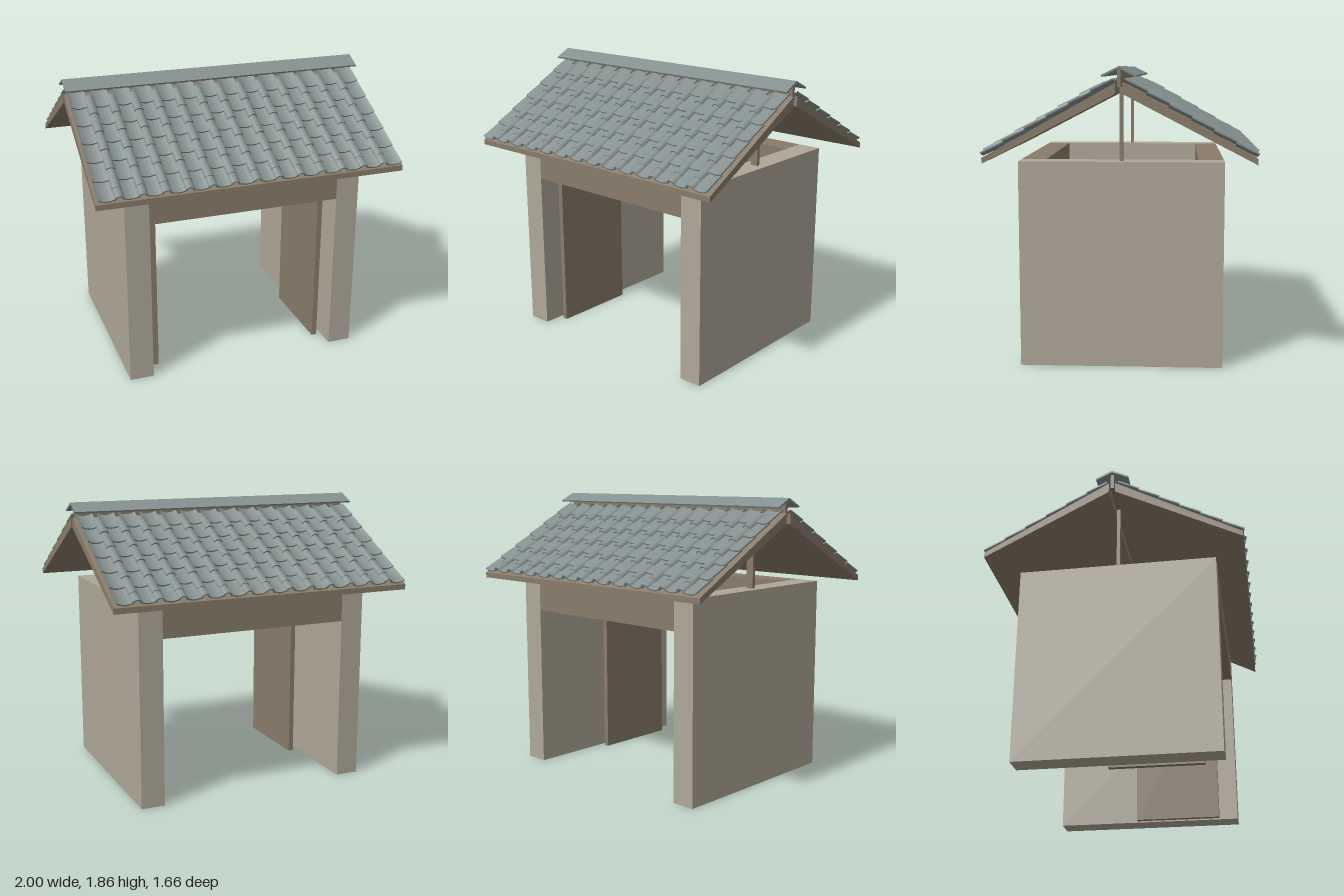
import * as THREE from 'three';
import { mergeGeometries } from 'three/addons/utils/BufferGeometryUtils.js';

const mat = (name, color) => new THREE.MeshStandardMaterial({ name, color });

const SLOPE = 0.565, ANGLE = Math.atan(SLOPE), EAVE = 0.81;

// Closed arc strip: bulge > 0 arches up, bulge < 0 sags
function arcShape(halfWidth, bulge, base, thick, n = 8) {
  const y = (t) => base + (bulge > 0 ? bulge * Math.sqrt(1 - t * t) : -bulge * t * t);
  const ts = Array.from({ length: n + 1 }, (_, i) => -Math.cos((i / n) * Math.PI));
  const low = ts.map((t) => new THREE.Vector2(t * (halfWidth - (bulge > 0 ? thick : 0)), y(t) - (bulge > 0 ? thick * Math.sqrt(1 - t * t) : 0)));
  const high = ts.map((t) => new THREE.Vector2(t * halfWidth, y(t) + (bulge > 0 ? 0 : thick)));
  return new THREE.Shape([...low, ...high.reverse()]);
}

// One tile, with its lower edge at the origin, lying on the slope
function tile(shape, length) {
  const g = new THREE.ExtrudeGeometry(shape, { depth: length, bevelEnabled: false });
  g.translate(0, 0, -length);
  g.rotateX(ANGLE - 0.06);
  return g;
}

// Profile of [z, y] points swept along x
function sweepX(points, length) {
  const shape = new THREE.Shape(points.map(([z, y]) => new THREE.Vector2(z, y)));
  const g = new THREE.ExtrudeGeometry(shape, { depth: length, bevelEnabled: false });
  g.translate(0, 0, -length / 2);
  g.rotateY(-Math.PI / 2);
  return g;
}

export function createModel() {
  const model = new THREE.Group();
  model.name = 'gatehouse';
  const plaster = mat('plaster', 0xafa898);
  const wood = mat('wood', 0x897c6a);
  const slate = mat('roofTile', 0x84908f);

  const add = (parent, name, geometry, material) => {
    const m = new THREE.Mesh(geometry, material);
    m.name = name;
    parent.add(m);
    return m;
  };
  // Box given by its extents
  const box = (name, material, [x0, x1], [y0, y1], [z0, z1]) =>
    add(model, name, new THREE.BoxGeometry(x1 - x0, y1 - y0, z1 - z0), material)
      .position.set((x0 + x1) / 2, (y0 + y1) / 2, (z0 + z1) / 2);

  // Side walls, open door leaves and ridge posts
  for (const [side, s] of [['left', 1], ['right', -1]]) {
    const span = (a, b) => (s > 0 ? [a, b] : [-b, -a]);
    box(side + 'Wall', plaster, span(0.63, 0.785), [0, 1.285], [-0.63, 0.63]);
    box(side + 'Door', wood, span(0.56, 0.595), [0, 1.05], [-0.075, 0.505]);
    box(side + 'RidgePost', wood, span(0.685, 0.735), [1.285, 1.75], [-0.011, 0.011]);
  }

  // Lintels across both openings, and the ridge board
  box('frontLintel', wood, [-0.63, 0.63], [1.075, 1.285], [0.475, 0.63]);
  box('backLintel', wood, [-0.63, 0.63], [1.075, 1.285], [-0.63, -0.475]);
  box('ridgeBoard', wood, [-0.98, 0.98], [1.74, 1.84], [-0.011, 0.011]);

  // Tile rows of one slope: sagging pans with staggered barrels over the joints
  const pan = tile(arcShape(0.055, -0.018, 0, 0.009), 0.15);
  const barrel = tile(arcShape(0.032, 0.032, 0.008, 0.008), 0.16);
  const pitch = 0.1425;
  const pans = [], barrels = [];
  const place = (list, g, x, z) =>
    list.push(g.clone().translate(x, 1.333 + SLOPE * (EAVE - z), z));
  for (let row = 0; row < 6; row++) {
    const z = EAVE - row * 0.13;
    for (let i = 0; i < 14; i++) {
      const x = THREE.MathUtils.clamp((i - 6.5) * pitch, -0.94, 0.94);
      place(pans, pan, x, z);
    }
    const zb = row === 0 ? EAVE : EAVE - 0.065 - (row - 1) * 0.13;
    for (let i = -6; i <= 6; i++) place(barrels, barrel, i * pitch, zb);
  }
  const panRows = mergeGeometries(pans), barrelRows = mergeGeometries(barrels);
  const deck = sweepX([[EAVE, 1.29], [EAVE, 1.325], [0.02, 1.765], [0.02, 1.7]], 1.99);

  // Two roof slopes
  for (const [name, turn] of [['frontSlope', 0], ['backSlope', Math.PI]]) {
    const slope = new THREE.Group();
    slope.name = name;
    slope.rotation.y = turn;
    add(slope, 'roofDeck', deck, wood);
    add(slope, 'panTiles', panRows, slate);
    add(slope, 'barrelTiles', barrelRows, slate);
    model.add(slope);
  }

  // Ridge cap
  add(model, 'ridgeCap', sweepX(
    [[-0.105, 1.808], [0, 1.86], [0.105, 1.808], [0.1, 1.798], [0, 1.847], [-0.1, 1.798]], 2), slate);

  return model;
}
